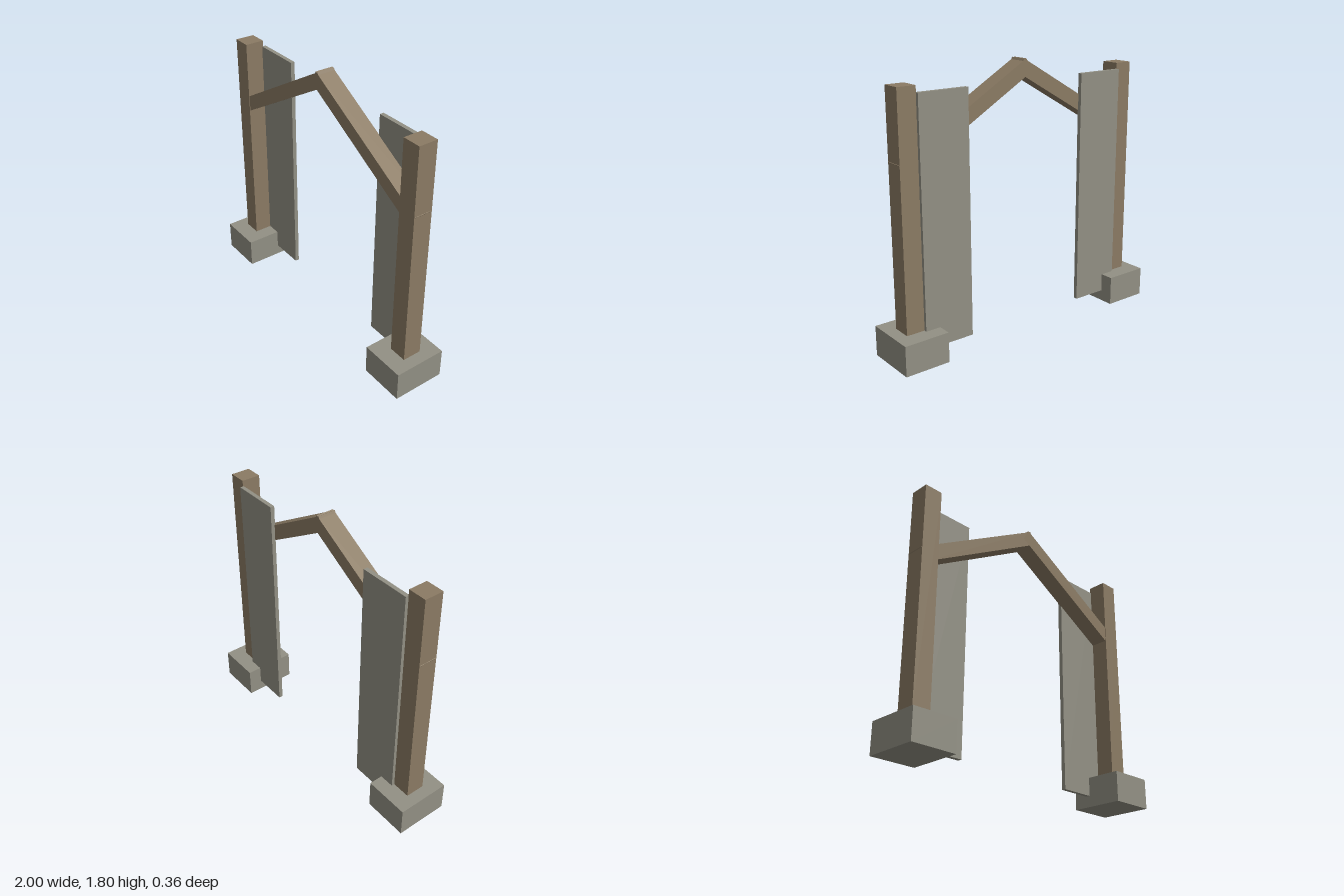
import * as THREE from 'three';

export function createModel() {
  const group = new THREE.Group();
  const wood = new THREE.MeshStandardMaterial({ color: 0x8b7b64 });
  wood.name = 'wood';
  const stone = new THREE.MeshStandardMaterial({ color: 0x929084 });
  stone.name = 'stone';

  function box(name, material, size, position, tilt = 0) {
    const mesh = new THREE.Mesh(new THREE.BoxGeometry(...size), material);
    mesh.name = name;
    mesh.position.set(...position);
    mesh.rotation.z = tilt;
    group.add(mesh);
  }

  // Each side: footing, post, rear panel and a rafter rising to the ridge
  for (const [side, s] of [['left', 1], ['right', -1]]) {
    box(`${side}Footing`, stone, [0.306, 0.2, 0.36], [s * 0.847, 0.1, 0]);
    box(`${side}Post`, wood, [0.125, 1.51, 0.13], [s * 0.8565, 0.955, 0]);
    box(`${side}Panel`, stone, [0.345, 1.595, 0.028], [s * 0.6225, 0.8725, -0.072]);
    box(`${side}Rafter`, wood, [1.074, 0.095, 0.122], [s * 0.433, 1.489, 0], -s * Math.PI / 6);
  }
  return group;
}
